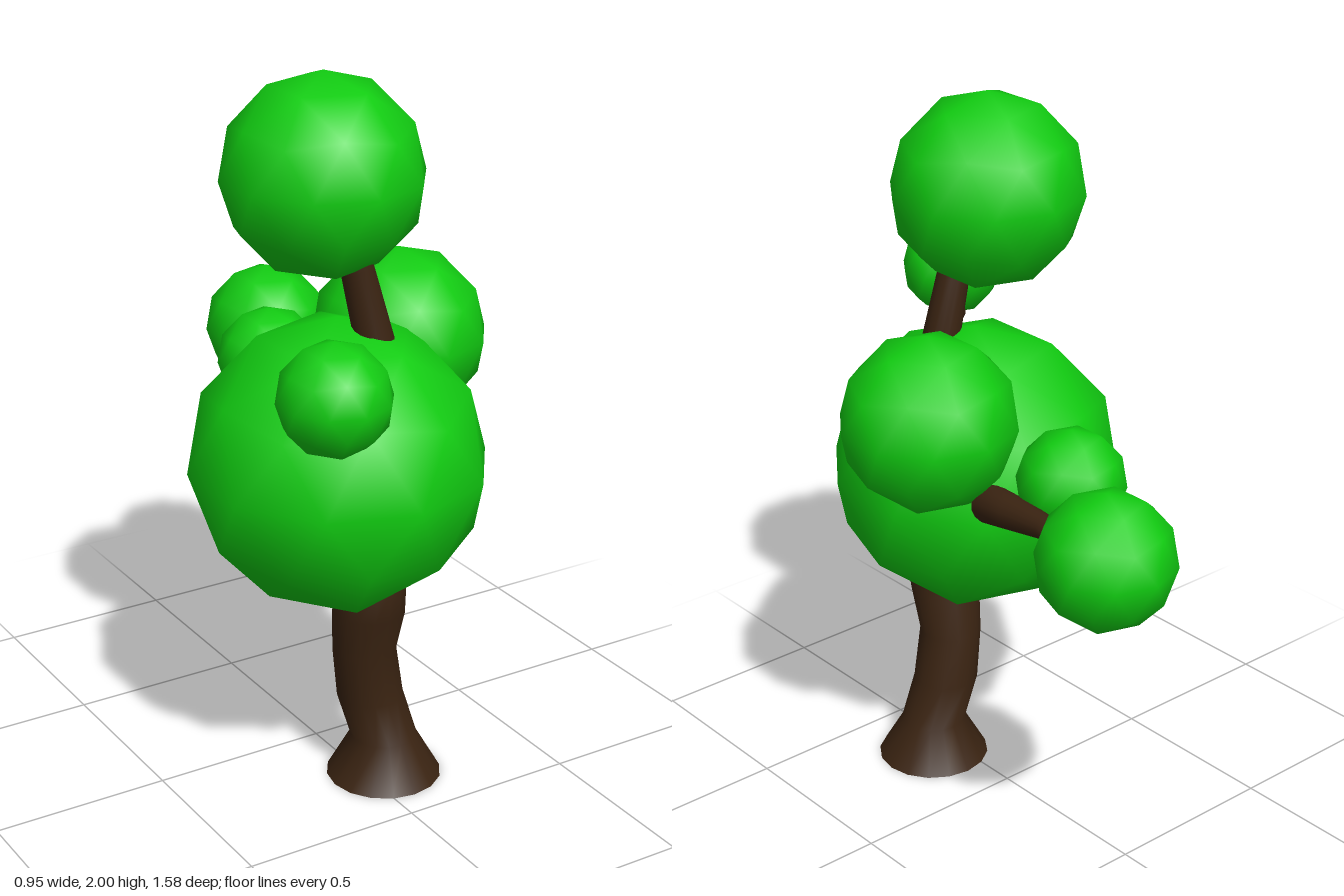
import * as THREE from 'three';

const bark = new THREE.MeshStandardMaterial({ color: 0x3b2412 });
const leaf = new THREE.MeshStandardMaterial({ color: 0x11cc11 });
const SIDES = 16;

// Tapered limb: parallel rings [x, y, z, radius] facing along one axis, closed at both ends
function limb(name, rings, axis) {
  const turn = new THREE.Quaternion().setFromUnitVectors(new THREE.Vector3(0, 1, 0), axis.normalize());
  const positions = [], index = [];
  rings.forEach(([x, y, z, r], i) => {
    for (let s = 0; s < SIDES; s++) {
      const a = (s / SIDES) * Math.PI * 2;
      const p = new THREE.Vector3(Math.sin(a) * r, 0, Math.cos(a) * r).applyQuaternion(turn);
      positions.push(x + p.x, y + p.y, z + p.z);
      if (i === 0) continue;
      const s2 = (s + 1) % SIDES, low = (i - 1) * SIDES, high = i * SIDES;
      index.push(low + s, low + s2, high + s2, low + s, high + s2, high + s);
    }
  });
  const geometry = new THREE.BufferGeometry();
  geometry.setAttribute('position', new THREE.Float32BufferAttribute(positions, 3));
  geometry.setIndex(index);
  geometry.computeVertexNormals();

  const group = new THREE.Group();
  group.name = name;
  const side = new THREE.Mesh(geometry, bark);
  side.name = name + 'Side';
  group.add(side);
  [rings[0], rings[rings.length - 1]].forEach(([x, y, z, r], end) => {
    const disc = new THREE.CircleGeometry(r, SIDES).rotateX(end ? -Math.PI / 2 : Math.PI / 2);
    const cap = new THREE.Mesh(disc.applyQuaternion(turn), bark);
    cap.name = name + (end ? 'Tip' : 'Base');
    cap.position.set(x, y, z);
    group.add(cap);
  });
  return group;
}

export function createModel() {
  const tree = new THREE.Group();
  tree.name = 'tree';

  // Trunk with flared foot, running up through the crown to the top ball
  tree.add(limb('trunk', [
    [0.06, 0, 0.265, 0.16],
    [0.06, 0.12, 0.262, 0.092],
    [0.022, 0.25, 0.25, 0.092],
    [0, 0.4, 0.253, 0.088],
    [-0.007, 0.53, 0.285, 0.1],
    [-0.003, 0.62, 0.298, 0.092],
    [0.02, 0.9, 0.28, 0.075],
    [0.02, 1.28, 0.263, 0.054],
    [-0.04, 1.5, 0.265, 0.045],
    [-0.07, 1.62, 0.25, 0.04],
  ], new THREE.Vector3(0, 1, 0)));

  // Side branches
  tree.add(limb('frontBranch', [
    [0, 1.18, 0.28, 0.045],
    [-0.12, 1.235, 0.42, 0.033],
    [-0.25, 1.243, 0.51, 0.024],
    [-0.33, 1.28, 0.63, 0.018],
  ], new THREE.Vector3(-0.66, 0.1, 0.7)));
  tree.add(limb('backBranch', [
    [0.04, 0.9, 0.25, 0.06],
    [0.16, 0.99, -0.12, 0.054],
    [0.17, 1.005, -0.22, 0.047],
    [0.18, 1.02, -0.36, 0.033],
    [0.21, 1.028, -0.44, 0.025],
    [0.2, 1.03, -0.6, 0.02],
  ], new THREE.Vector3(0.1, 0.1, -1)));

  // Foliage balls, each standing on a pole vertex
  const ball = new THREE.IcosahedronGeometry(1, 1)
    .rotateZ(Math.atan(2 / (1 + Math.sqrt(5)))).rotateY(Math.PI);
  const foliage = [
    ['crownFoliage', -0.05, 0.94, 0.195, 0.407],
    ['topFoliage', -0.095, 1.73, 0.19, 0.27],
    ['leftFoliage', 0.242, 1.2, 0.035, 0.244],
    ['frontFoliage', -0.34, 1.327, 0.645, 0.146],
    ['backFoliage', 0.2, 1.032, -0.608, 0.185],
    ['smallBackFoliage', 0.015, 1.067, -0.275, 0.15],
  ];
  for (const [name, x, y, z, r] of foliage) {
    const mesh = new THREE.Mesh(ball, leaf);
    mesh.name = name;
    mesh.position.set(x, y, z);
    mesh.scale.setScalar(r);
    tree.add(mesh);
  }
  return tree;
}
